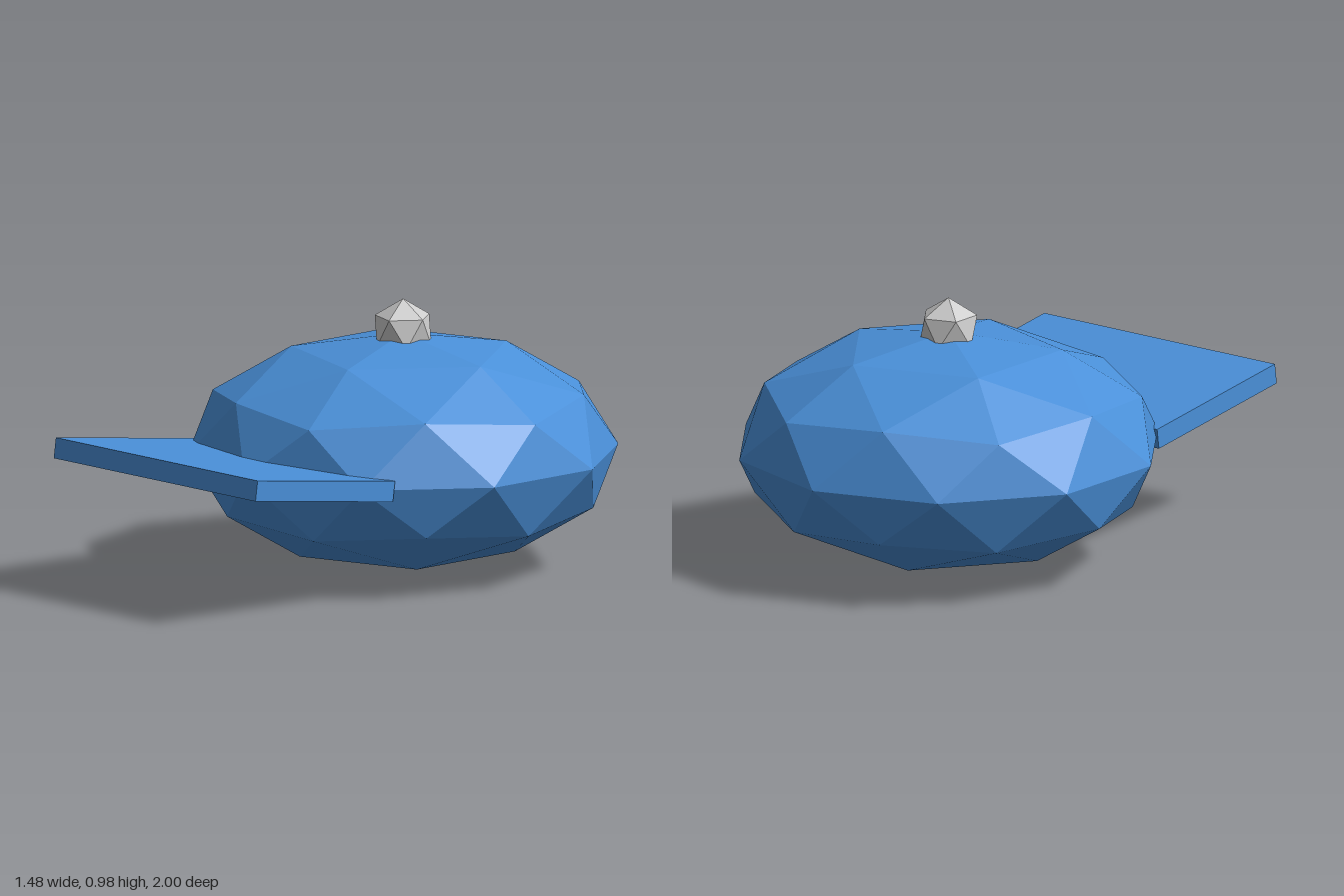
import * as THREE from 'three';

const CENTRE_Z = -0.22;

// Faceted ball with a corner at the top and an upper-ring corner towards +x
function facetedBall(detail, rx, ry) {
  const g = new THREE.IcosahedronGeometry(1, detail);
  g.rotateX(-Math.atan((1 + Math.sqrt(5)) / 2));
  g.rotateY(Math.PI / 2);
  g.scale(rx, ry, rx);
  g.computeVertexNormals();
  return g;
}

export function createModel() {
  const blue = new THREE.MeshStandardMaterial({ color: 0x4a90d9, flatShading: true });
  blue.name = 'capBlue';
  const grey = new THREE.MeshStandardMaterial({ color: 0xcccccc, flatShading: true });
  grey.name = 'buttonGrey';

  const cap = new THREE.Group();
  cap.name = 'cap';

  function add(name, geometry, material, y, z) {
    const mesh = new THREE.Mesh(geometry, material);
    mesh.name = name;
    mesh.position.set(0, y, z);
    cap.add(mesh);
    return mesh;
  }

  // Flattened crown
  add('crown', facetedBall(1, 0.78, 0.425), blue, 0.426, CENTRE_Z);

  // Button on top
  add('button', facetedBall(0, 0.116, 0.116), grey, 0.861, CENTRE_Z);

  // Flat visor, tipped up at the front
  const visor = add('visor', new THREE.BoxGeometry(1.066, 0.075, 0.682), blue, 0.47, 0.658);
  visor.rotation.x = THREE.MathUtils.degToRad(-8);

  return cap;
}
